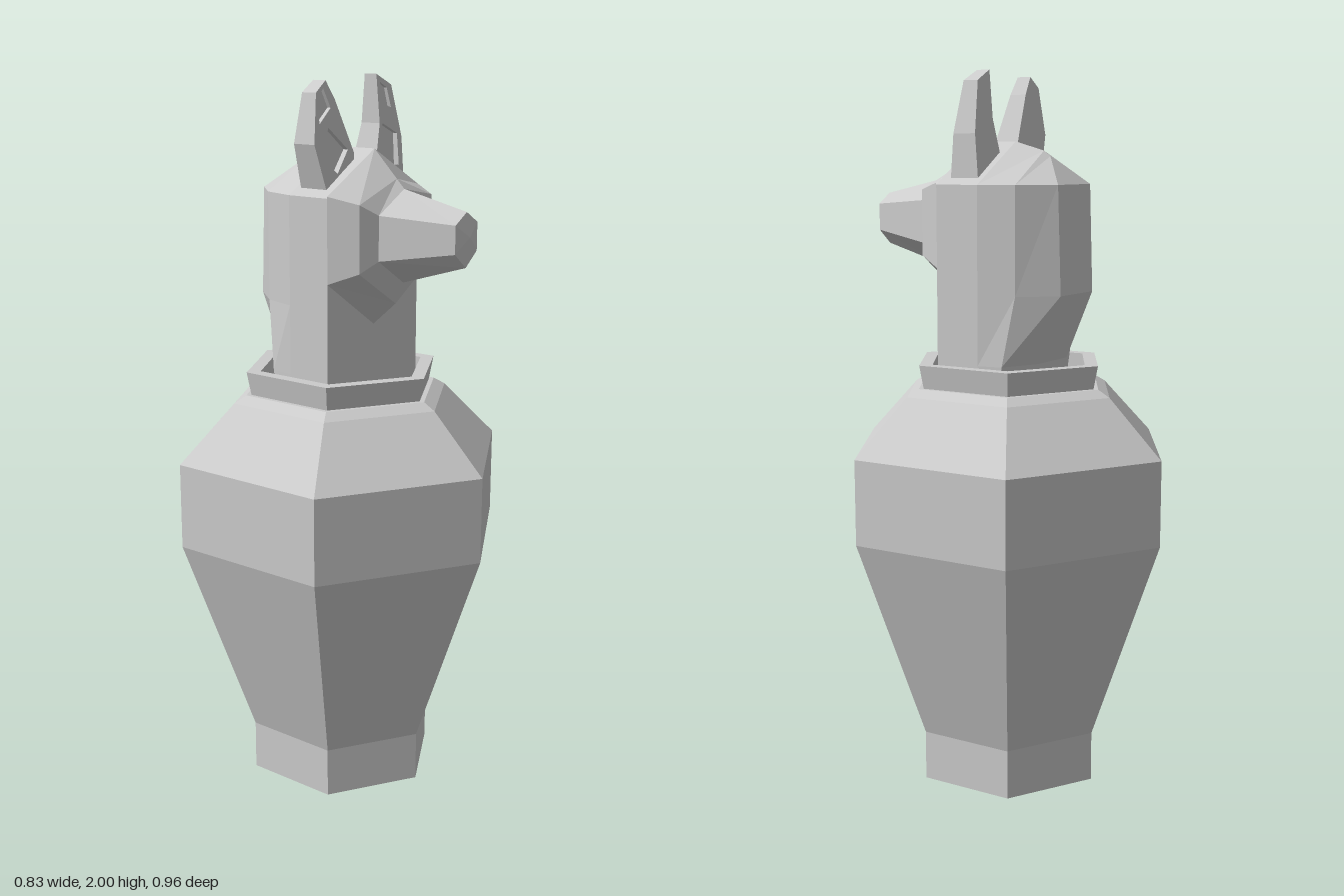
import * as THREE from 'three';

const material = new THREE.MeshStandardMaterial({ color: 0xcccccc, flatShading: true });

function add(parent, name, geometry) {
  const mesh = new THREE.Mesh(geometry, material);
  mesh.name = name;
  parent.add(mesh);
}

// Skin between closed rings that have the same number of points
function loft(rings) {
  const n = rings[0].length, index = [];
  for (let r = 0; r < rings.length - 1; r++) {
    for (let i = 0; i < n; i++) {
      const a = r * n + i, b = r * n + (i + 1) % n;
      index.push(a, b, b + n, a, b + n, a + n);
    }
  }
  const g = new THREE.BufferGeometry();
  g.setAttribute('position', new THREE.Float32BufferAttribute(rings.flat(2), 3));
  g.setIndex(index);
  const flat = g.toNonIndexed();
  flat.computeVertexNormals();
  return flat;
}

const hexLathe = (profile) =>
  new THREE.LatheGeometry(profile.map(([r, y]) => new THREE.Vector2(r, y)), 6);

// Head outline at one height: square front, rounded back
function headRing(y, sideX, sideZ, backX, backZ) {
  const right = [[0.2, 0.11], [0.2, -0.02], [sideX, sideZ], [backX, backZ]];
  const left = right.map(([x, z]) => [-x, z]).reverse();
  return [[0, 0.11], ...right, [0, backZ], ...left].map(([x, z]) => [x, y, z]);
}

// Upright hexagon facing forwards
const faceRing = (z, w, top, upper, lower, bottom) => [
  [0, top, z], [-w, upper, z], [-w, lower, z], [0, bottom, z], [w, lower, z], [w, upper, z],
];

// Tapered ear: solid back with a pierced front plate
function ear(name, outline, holes) {
  const group = new THREE.Group();
  group.name = name;
  const points = (list) => list.map(([x, y]) => new THREE.Vector2(x, y));
  const plate = new THREE.Shape(points(outline));
  plate.holes = holes.map((h) => new THREE.Path(points(h)));
  const slab = (shape, z, depth) => {
    const g = new THREE.ExtrudeGeometry(shape, { depth, bevelEnabled: false });
    g.translate(0, 0, z);
    const p = g.attributes.position;
    for (let i = 0; i < p.count; i++) {
      const k = 1 - 0.55 * THREE.MathUtils.clamp((p.getY(i) - 1.72) / 0.28, 0, 1);
      p.setZ(i, 0.038 + (p.getZ(i) - 0.038) * k);
    }
    g.computeVertexNormals();
    return g;
  };
  add(group, 'earBack', slab(new THREE.Shape(points(outline)), -0.005, 0.07));
  add(group, 'earFrame', slab(plate, 0.065, 0.018));
  return group;
}

export function createModel() {
  const model = new THREE.Group();
  model.name = 'jar';

  // Six-sided vessel
  add(model, 'vessel', hexLathe([
    [0, 0], [0.275, 0], [0.275, 0.14], [0.48, 0.72], [0.48, 0.96],
    [0.32, 1.12], [0.285, 1.14], [0, 1.14],
  ]));
  add(model, 'collar', hexLathe([
    [0.268, 1.13], [0.283, 1.205], [0.242, 1.205], [0.242, 1.14],
  ]));

  // Neck and skull, closing to a ridge on top
  const skull = [
    headRing(1.14, 0.19, -0.08, 0.08, -0.13),
    headRing(1.21, 0.19, -0.09, 0.08, -0.14),
    headRing(1.4, 0.17, -0.12, 0.09, -0.215),
    headRing(1.695, 0.17, -0.12, 0.09, -0.205),
  ];
  skull.push(skull[3].map(([, , z]) =>
    z > -0.05 ? [0, 1.81, z] : z > -0.15 ? [0, 1.785, -0.11] : [0, 1.77, -0.13]));
  add(model, 'head', loft(skull));

  // Face and jaw, then the tapering snout
  const brow = faceRing(0.21, 0.11, 1.71, 1.65, 1.53, 1.46);
  add(model, 'face', loft([
    faceRing(0.11, 0.2, 1.81, 1.7, 1.47, 1.335),
    faceRing(0.185, 0.16, 1.735, 1.68, 1.5, 1.4),
    brow,
  ]));
  add(model, 'snout', loft([
    brow,
    faceRing(0.41, 0.05, 1.665, 1.635, 1.56, 1.52),
    Array.from({ length: 6 }, () => [0, 1.6, 0.422]),
  ]));

  // Ears, each with its own lean
  model.add(ear('leftEar',
    [[0.04, 1.74], [0.17, 1.7], [0.17, 1.83], [0.137, 1.97], [0.074, 2], [0.075, 1.87]],
    [
      [[0.06, 1.76], [0.15, 1.755], [0.15, 1.84], [0.087, 1.87]],
      [[0.092, 1.92], [0.13, 1.91], [0.116, 1.963], [0.088, 1.978]],
    ]));
  model.add(ear('rightEar',
    [[-0.165, 1.7], [-0.05, 1.75], [-0.045, 1.8], [-0.11, 1.94], [-0.143, 1.99],
      [-0.185, 1.96], [-0.206, 1.83]],
    [
      [[-0.12, 1.75], [-0.07, 1.81], [-0.145, 1.87], [-0.18, 1.8]],
      [[-0.18, 1.88], [-0.13, 1.92], [-0.155, 1.97], [-0.178, 1.945]],
    ]));

  return model;
}
